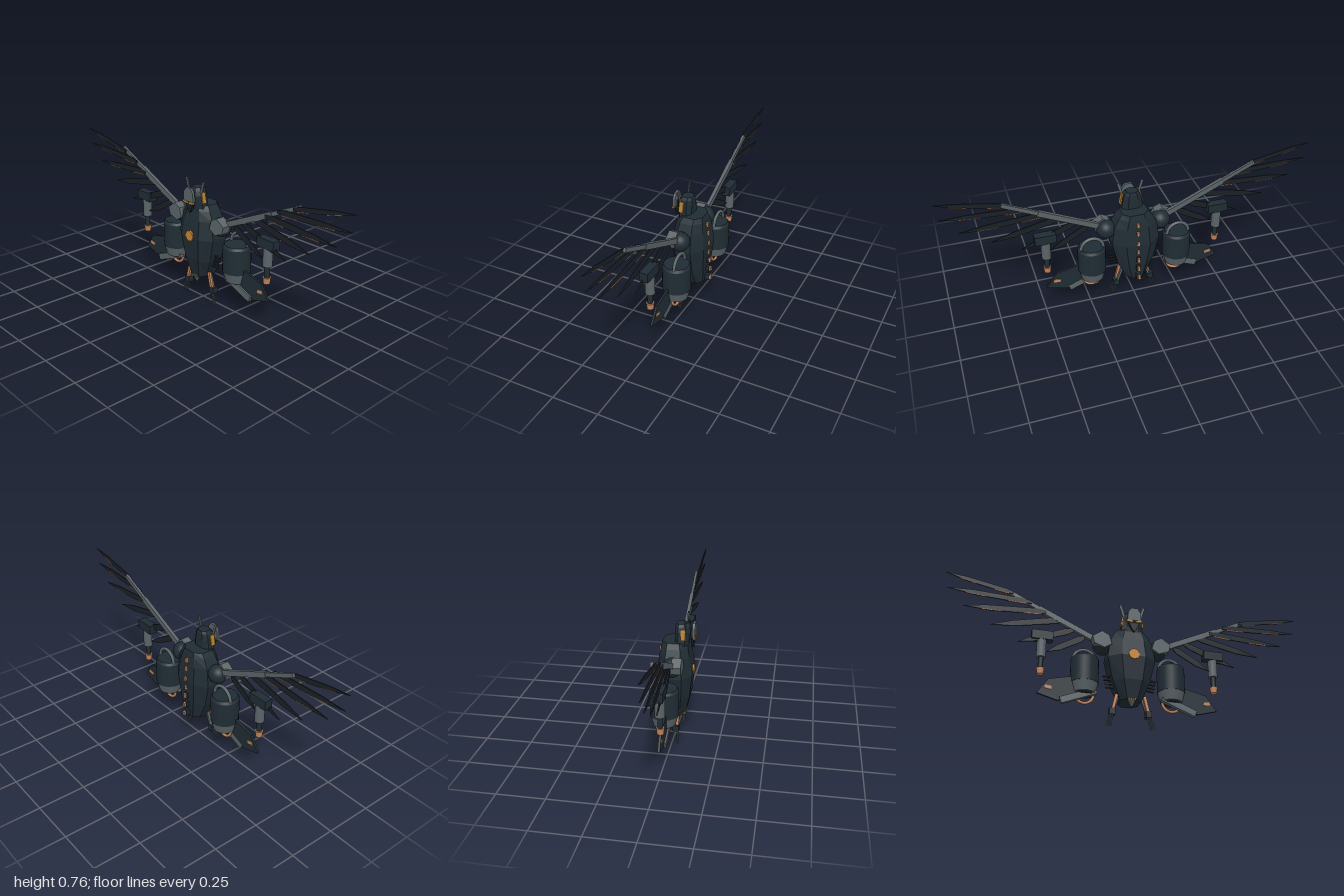
import * as THREE from 'three';

const mat = (name, color) => {
  const m = new THREE.MeshStandardMaterial({ color });
  m.name = name;
  return m;
};

export function createModel() {
  const navy = mat('dark navy armour', 0x202c34);
  const black = mat('black feather', 0x1a2026);
  const steel = mat('steel grey', 0x5b6468);
  const copper = mat('copper', 0xc4855a);
  const amber = mat('amber', 0xc88432);
  const gold = mat('gold', 0xb3812f);

  const model = new THREE.Group();
  model.name = 'mechanicalBird';

  const add = (parent, name, geo, material, x = 0, y = 0, z = 0, rz = 0, rx = 0) => {
    const m = new THREE.Mesh(geo, material);
    m.name = name;
    m.position.set(x, y, z);
    m.rotation.set(rx, 0, rz);
    parent.add(m);
    return m;
  };
  const box = (w, h, d) => new THREE.BoxGeometry(w, h, d);
  const cyl = (rt, rb, h, n = 16) => new THREE.CylinderGeometry(rt, rb, h, n);

  // Straight beam between two points in the xy plane
  const beam = (parent, name, a, b, w, d, material, z) =>
    add(parent, name, box(Math.hypot(b[0] - a[0], b[1] - a[1]), w, d), material,
      (a[0] + b[0]) / 2, (a[1] + b[1]) / 2, z, Math.atan2(b[1] - a[1], b[0] - a[0]));

  // Flat plate from an outline, centred on z = 0
  const plate = (pts, depth) =>
    new THREE.ExtrudeGeometry(new THREE.Shape(pts.map(p => new THREE.Vector2(p[0], p[1]))),
      { depth, bevelEnabled: false }).translate(0, 0, -depth / 2);

  // Faceted octagonal hull; each section is [y, half width, front z, back z]
  const hull = (sections, k = 0.5) => {
    const pos = [];
    const rings = sections.map(([y, w, f, b]) => {
      const c = (f + b) / 2, h = (f - b) / 2;
      return [[1, k], [k, 1], [-k, 1], [-1, k], [-1, -k], [-k, -1], [k, -1], [1, -k]]
        .map(([u, v]) => [w * u, y, c + h * v]);
    });
    const tri = (...p) => p.forEach(q => pos.push(...q));
    for (let j = 0; j < 8; j++) {
      const n = (j + 1) % 8;
      for (let i = 0; i < rings.length - 1; i++) {
        const lo = rings[i], hi = rings[i + 1];
        tri(lo[j], hi[j], hi[n]);
        tri(lo[j], hi[n], lo[n]);
      }
      const lo = rings[0], hi = rings[rings.length - 1];
      const mid = s => [0, s[0], (s[2] + s[3]) / 2];
      tri(mid(sections[0]), lo[j], lo[n]);
      tri(mid(sections[sections.length - 1]), hi[n], hi[j]);
    }
    const g = new THREE.BufferGeometry();
    g.setAttribute('position', new THREE.Float32BufferAttribute(pos, 3));
    g.computeVertexNormals();
    return g;
  };

  // Body, chest lamp and tail tip
  add(model, 'body', hull([
    [0.147, 0.055, 0.06, -0.066], [0.25, 0.1, 0.083, -0.078], [0.38, 0.13, 0.098, -0.088],
    [0.48, 0.115, 0.082, -0.078], [0.53, 0.09, 0.072, -0.07], [0.556, 0.07, 0.06, -0.064]]), navy);
  add(model, 'chestLamp', cyl(0.03, 0.03, 0.012, 8), amber, 0, 0.388, 0.096, 0, Math.PI / 2);
  add(model, 'tailLamp', box(0.03, 0.03, 0.012), amber, 0, 0.148, 0.055, Math.PI / 4);
  add(model, 'tailCone', cyl(0.022, 0.004, 0.038, 8), steel, 0, 0.128, 0.047);

  // Spine vents down the back
  [[0.5, 0.079], [0.45, 0.084], [0.39, 0.088], [0.335, 0.087], [0.285, 0.095], [0.23, 0.098], [0.175, 0.1]]
    .forEach(([y, z], i) => {
      add(model, 'spineVent', box(0.014, 0.024, 0.012), copper, 0, y, -z);
      if (i > 3) add(model, 'spineMount', box(0.02, 0.03, 0.026), navy, 0, y, -z + 0.018);
    });

  // Head with brow plate, visor and beak
  const head = new THREE.Group();
  head.name = 'head';
  model.add(head);
  add(head, 'skull', hull([[0.5, 0.06, 0.07, -0.005], [0.55, 0.058, 0.074, 0],
    [0.61, 0.05, 0.082, 0], [0.635, 0.042, 0.075, 0.002], [0.65, 0.03, 0.062, 0.006]]), navy);
  add(head, 'browMount', box(0.03, 0.03, 0.03), navy, 0, 0.6, 0.08);
  add(head, 'browPlate', plate([[-0.038, 0.582], [0.038, 0.582], [0.034, 0.63], [0.018, 0.655],
    [-0.018, 0.655], [-0.034, 0.63]], 0.014), steel, 0, 0, 0.099);
  add(head, 'beak', plate([[-0.028, 0.572], [0.028, 0.572], [0.016, 0.54], [0, 0.518], [-0.016, 0.54]], 0.014),
    black, 0, 0, 0.092);

  const feathers = [ // base, tip, width, z
    [[0.64, 0.695], [0.995, 0.765], 0.026, 0.022], [[0.54, 0.655], [0.98, 0.677], 0.03, 0.02],
    [[0.46, 0.61], [0.895, 0.585], 0.033, 0.018], [[0.37, 0.575], [0.745, 0.497], 0.036, 0.016],
    [[0.31, 0.525], [0.6, 0.418], 0.036, 0.014], [[0.25, 0.49], [0.45, 0.38], 0.036, 0.012]];

  for (const s of [1, -1]) {
    const side = new THREE.Group();
    side.name = s > 0 ? 'leftSide' : 'rightSide';
    model.add(side);
    const X = p => [p[0] * s, p[1]];

    // Head fittings
    add(side, 'eye', box(0.036, 0.011, 0.01), amber, 0.024 * s, 0.576, 0.103, 0.15 * s);
    add(side, 'cheekGuard', box(0.012, 0.058, 0.024), gold, 0.052 * s, 0.6, 0.047, 0.2 * s);
    beam(side, 'earBlade', X([0.045, 0.62]), X([0.066, 0.69]), 0.014, 0.006, steel, 0.057);

    // Shoulder
    add(side, 'shoulderJoint', new THREE.SphereGeometry(0.052, 20, 14), navy, 0.15 * s, 0.458, 0.006);
    add(side, 'shoulderArmour', plate([[0.11, 0.45], [0.15, 0.425], [0.205, 0.445], [0.215, 0.485],
      [0.165, 0.52], [0.125, 0.5]].map(X), 0.05), steel, 0, 0, 0.035);

    // Wing arm
    const wing = new THREE.Group();
    wing.name = 'wing';
    side.add(wing);
    beam(wing, 'upperArm', X([0.17, 0.475]), X([0.5, 0.628]), 0.03, 0.02, steel, 0.01);
    beam(wing, 'foreArm', X([0.48, 0.619]), X([0.675, 0.71]), 0.022, 0.014, steel, 0.01);

    // Feathers with copper trims
    for (const [a, b, w, z] of feathers) {
      const L = Math.hypot(b[0] - a[0], b[1] - a[1]);
      const turn = Math.atan2(b[1] - a[1], (b[0] - a[0]) * s);
      const leaf = [[0, 0.25], [0.12, 0.5], [0.7, 0.4], [1, 0], [0.68, -0.5], [0.12, -0.5], [0, -0.25]]
        .map(([u, v]) => [u * L, v * w * s]);
      add(wing, 'feather', plate(leaf, 0.006), black, a[0] * s, a[1], z, turn);
      if (w < 0.035) {
        const trim = [[0.06, -0.4], [0.28, -0.46], [0.28, -0.58], [0.06, -0.54]];
        const tipTrim = [[0.55, -0.44], [0.78, -0.28], [0.78, -0.4], [0.55, -0.54]];
        for (const t of [trim, tipTrim])
          add(wing, 'featherTrim', plate(t.map(([u, v]) => [u * L, v * w * s]), 0.008), copper,
            a[0] * s, a[1], z, turn);
      }
    }

    // Hanging gun pod
    const gx = 0.475 * s;
    add(side, 'gunMount', box(0.112, 0.05, 0.046), navy, gx, 0.47, 0.006);
    add(side, 'gunBarrel', cyl(0.025, 0.025, 0.1), steel, gx, 0.397, 0.004);
    add(side, 'gunMuzzle', cyl(0.014, 0.014, 0.07), navy, gx, 0.317, 0.006);
    add(side, 'gunTip', cyl(0.021, 0.017, 0.034), copper, gx, 0.27, 0.006);

    // Engine with nozzle, intake pipe and exhaust ring
    const ex = 0.238 * s, ez = -0.018;
    add(side, 'engine', cyl(0.075, 0.075, 0.135, 24), navy, ex, 0.3025, ez);
    add(side, 'engineCap', cyl(0.066, 0.075, 0.014, 24), navy, ex, 0.377, ez);
    add(side, 'nozzle', cyl(0.073, 0.059, 0.055, 24), steel, ex, 0.2085, ez);
    add(side, 'nozzleCore', cyl(0.05, 0.046, 0.008, 24), navy, ex, 0.178, ez);
    add(side, 'intakePipe', new THREE.TorusGeometry(0.06, 0.009, 8, 20, Math.PI), steel, ex, 0.38, -0.035);
    add(side, 'exhaustRing', new THREE.TorusGeometry(0.05, 0.008, 8, 20, Math.PI), copper, ex, 0.18, ez, Math.PI);

    // Tail fin
    add(side, 'tailFin', plate([[0.2, 0.215], [0.3, 0.265], [0.43, 0.235], [0.487, 0.152], [0.38, 0.122],
      [0.22, 0.175]].map(X), 0.012), navy, 0, 0, -0.002);
    beam(side, 'finSpar', X([0.365, 0.122]), X([0.18, 0.195]), 0.035, 0.024, steel, 0.002);
    add(side, 'finLamp', box(0.036, 0.018, 0.018), copper, 0.43 * s, 0.188, -0.002, 0.15 * s);

    // Ribs beside the lower body
    for (let i = 0; i < 4; i++)
      beam(side, 'rib', X([0.07, 0.225 + i * 0.02]), X([0.145 - (3 - i) * 0.005, 0.218 + i * 0.02]),
        0.007, 0.012, black, 0.012);

    // Leg, ankle and three curved claws
    beam(side, 'thigh', X([0.075, 0.18]), X([0.095, 0.095]), 0.016, 0.014, copper, 0.026);
    beam(side, 'legStrut', X([0.065, 0.17]), X([0.09, 0.095]), 0.012, 0.014, steel, 0.01);
    add(side, 'ankle', box(0.032, 0.034, 0.034), navy, 0.098 * s, 0.083, 0.018);
    for (let i = -1; i <= 1; i++) {
      const curve = new THREE.QuadraticBezierCurve3(
        new THREE.Vector3((0.1 + i * 0.009) * s, 0.07, 0.026 + i * 0.003),
        new THREE.Vector3((0.112 + i * 0.011) * s, 0.045, 0.027 + i * 0.004),
        new THREE.Vector3((0.117 + i * 0.012) * s, 0.002, 0.027 + i * 0.005));
      add(side, 'claw', new THREE.TubeGeometry(curve, 6, 0.004, 6), steel);
    }
  }
  return model;
}
